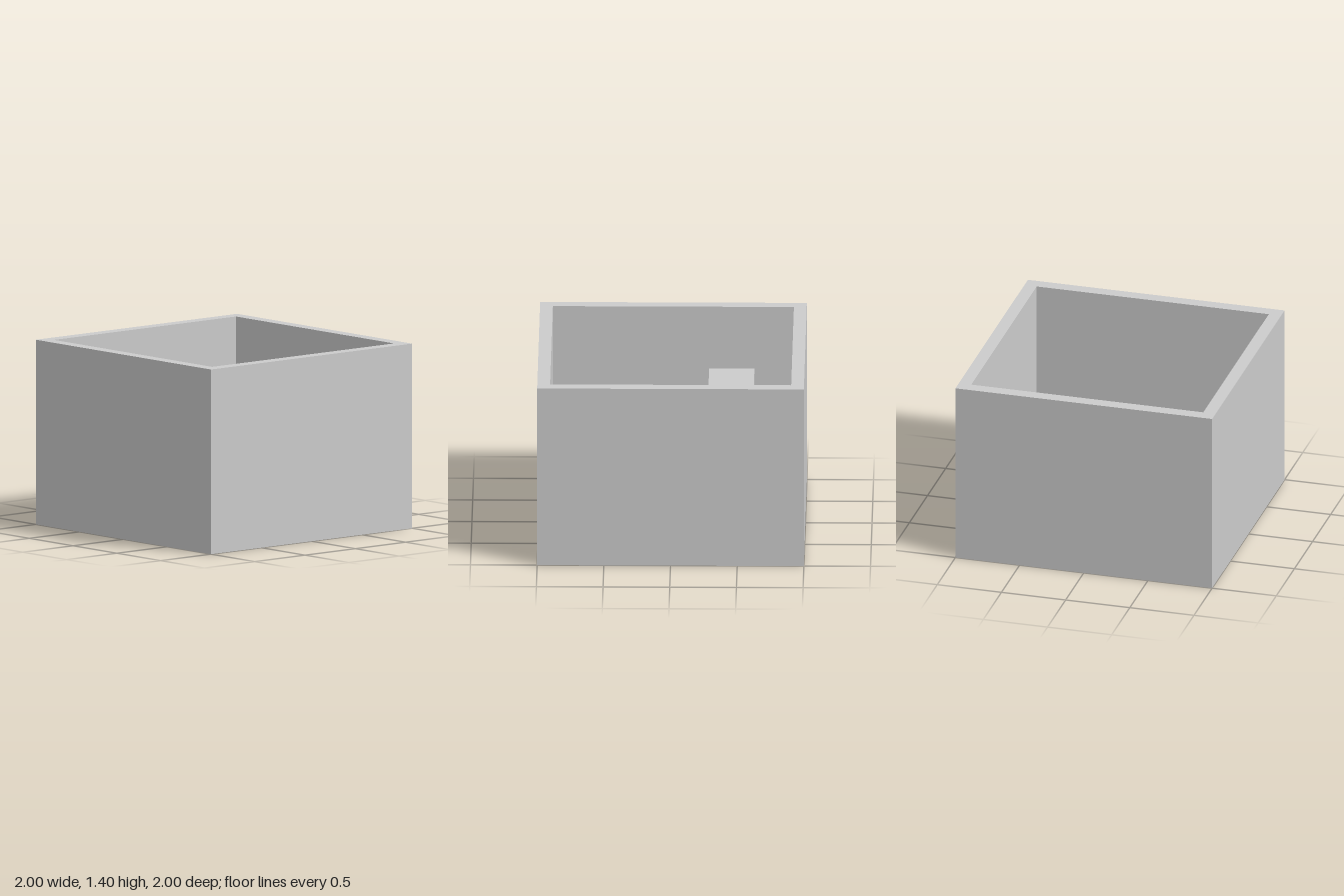
import * as THREE from 'three';

const SIZE = 2, HEIGHT = 1.4, WALL = 0.096, FLOOR = 0.096;

// Square outline centred on the origin
function square(PathType, half) {
  return new PathType([
    new THREE.Vector2(-half, -half), new THREE.Vector2(half, -half),
    new THREE.Vector2(half, half), new THREE.Vector2(-half, half),
  ]);
}

export function createModel() {
  const model = new THREE.Group();
  model.name = 'openBox';
  const material = new THREE.MeshStandardMaterial({ color: 0xcccccc });

  const add = (name, geometry) => {
    const mesh = new THREE.Mesh(geometry, material);
    mesh.name = name;
    model.add(mesh);
    return mesh;
  };

  // Box standing on the height y0, given by its footprint
  const addBlock = (name, x0, x1, z0, z1, y0, y1) => {
    const mesh = add(name, new THREE.BoxGeometry(x1 - x0, y1 - y0, z1 - z0));
    mesh.position.set((x0 + x1) / 2, (y0 + y1) / 2, (z0 + z1) / 2);
  };

  // Four walls as one square ring
  const ring = square(THREE.Shape, SIZE / 2);
  ring.holes.push(square(THREE.Path, SIZE / 2 - WALL));
  const walls = new THREE.ExtrudeGeometry(ring, { depth: HEIGHT, bevelEnabled: false });
  walls.rotateX(-Math.PI / 2);
  add('walls', walls);

  // Floor slab closing the ring
  const inner = SIZE / 2 - WALL;
  addBlock('floor', -inner, inner, -inner, inner, 0, FLOOR);

  // Tall and low blocks standing on the floor
  addBlock('tallBlock', -0.61, -0.27, 0.305, 0.73, FLOOR, 0.97);
  addBlock('lowBlock', 0.332, 0.755, -0.375, 0.048, FLOOR, 0.52);

  return model;
}
